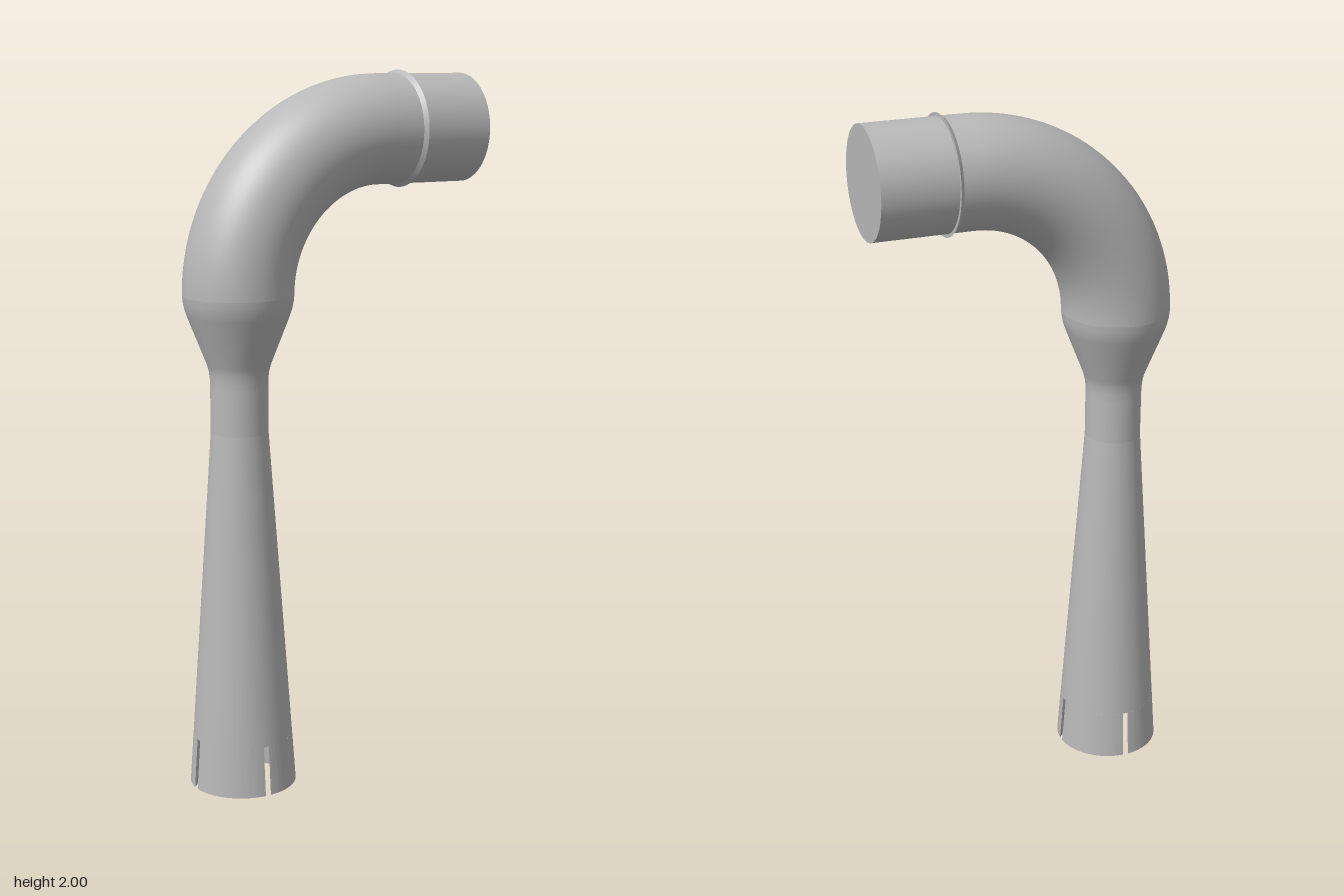
import * as THREE from 'three';
import { toCreasedNormals } from 'three/addons/utils/BufferGeometryUtils.js';

export function createModel() {
  const model = new THREE.Group();
  const grey = new THREE.MeshStandardMaterial({ color: 0xb8b8b8 });
  grey.name = 'grey';

  const AXIS_X = -0.284, PIPE_R = 0.153, PIPE_Y = 1.837;
  const BEND_Y = 1.4, BEND_R = PIPE_Y - BEND_Y, BEND_END = AXIS_X + BEND_R;
  const FOOT_R = 0.151, SLOT_TOP = 0.142, SLOT_R = 0.141, HALF_SLOT = 0.008;
  const LIP_X = 0.227, END_X = 0.437;

  const add = (name, geometry, x = AXIS_X, y = 0) => {
    const mesh = new THREE.Mesh(geometry, grey);
    mesh.name = name;
    mesh.position.set(x, y, 0);
    model.add(mesh);
    return mesh;
  };
  const lathe = (points) =>
    new THREE.LatheGeometry(points.map(([r, y]) => new THREE.Vector2(r, y)), 64);

  // Foot: four solid quarters left between the crossed slots
  const a = Math.asin(HALF_SLOT / FOOT_R);
  const sector = new THREE.Shape();
  sector.moveTo(HALF_SLOT, HALF_SLOT);
  sector.absarc(0, 0, FOOT_R, a, Math.PI / 2 - a, false);
  sector.closePath();
  let quarter = new THREE.ExtrudeGeometry(sector, {
    depth: SLOT_TOP, bevelEnabled: false, curveSegments: 16,
  });
  // Taper about the inner corner so that the slot walls stay parallel
  const p = quarter.attributes.position;
  const taper = (SLOT_R - HALF_SLOT) / (FOOT_R - HALF_SLOT);
  for (let i = 0; i < p.count; i++) {
    const s = 1 + (taper - 1) * p.getZ(i) / SLOT_TOP;
    p.setX(i, HALF_SLOT + (p.getX(i) - HALF_SLOT) * s);
    p.setY(i, HALF_SLOT + (p.getY(i) - HALF_SLOT) * s);
  }
  quarter.rotateX(-Math.PI / 2);
  quarter = toCreasedNormals(quarter, 0.5);
  for (let k = 0; k < 4; k++) {
    add('footQuarter' + (k + 1), quarter).rotation.y = k * Math.PI / 2;
  }
  const roof = new THREE.CircleGeometry(SLOT_R, 64);
  roof.rotateX(Math.PI / 2);
  add('slotRoof', roof, AXIS_X, SLOT_TOP);

  // Tapered stem, then the neck that flares out to the bend
  add('stem', lathe([[SLOT_R, SLOT_TOP], [0.08, 1.02]]));
  add('neck', lathe([[0.08, 1.02], [0.08, 1.15]]));
  add('flare', lathe([
    [0.08, 1.15], [0.0805, 1.17], [0.083, 1.19], [0.088, 1.21],
    [0.141, 1.345], [0.147, 1.363], [0.151, 1.382], [PIPE_R, BEND_Y],
  ]));

  // Quarter-circle elbow
  class Elbow extends THREE.Curve {
    getPoint(t, target = new THREE.Vector3()) {
      const angle = Math.PI - t * Math.PI / 2;
      return target.set(BEND_END + BEND_R * Math.cos(angle), BEND_Y + BEND_R * Math.sin(angle), 0);
    }
  }
  add('elbow', new THREE.TubeGeometry(new Elbow(), 40, PIPE_R, 64, false), 0);

  // Straight outlet with a closed end
  const outlet = new THREE.CylinderGeometry(PIPE_R, PIPE_R, END_X - BEND_END, 64);
  outlet.rotateZ(-Math.PI / 2);
  add('outlet', outlet, (BEND_END + END_X) / 2, PIPE_Y);

  // Thin flared stop ring around the outlet
  const ring = new THREE.CylinderGeometry(0.163, PIPE_R, 0.011, 64);
  ring.rotateZ(-Math.PI / 2);
  add('stopRing', ring, LIP_X - 0.0055, PIPE_Y);

  return model;
}
